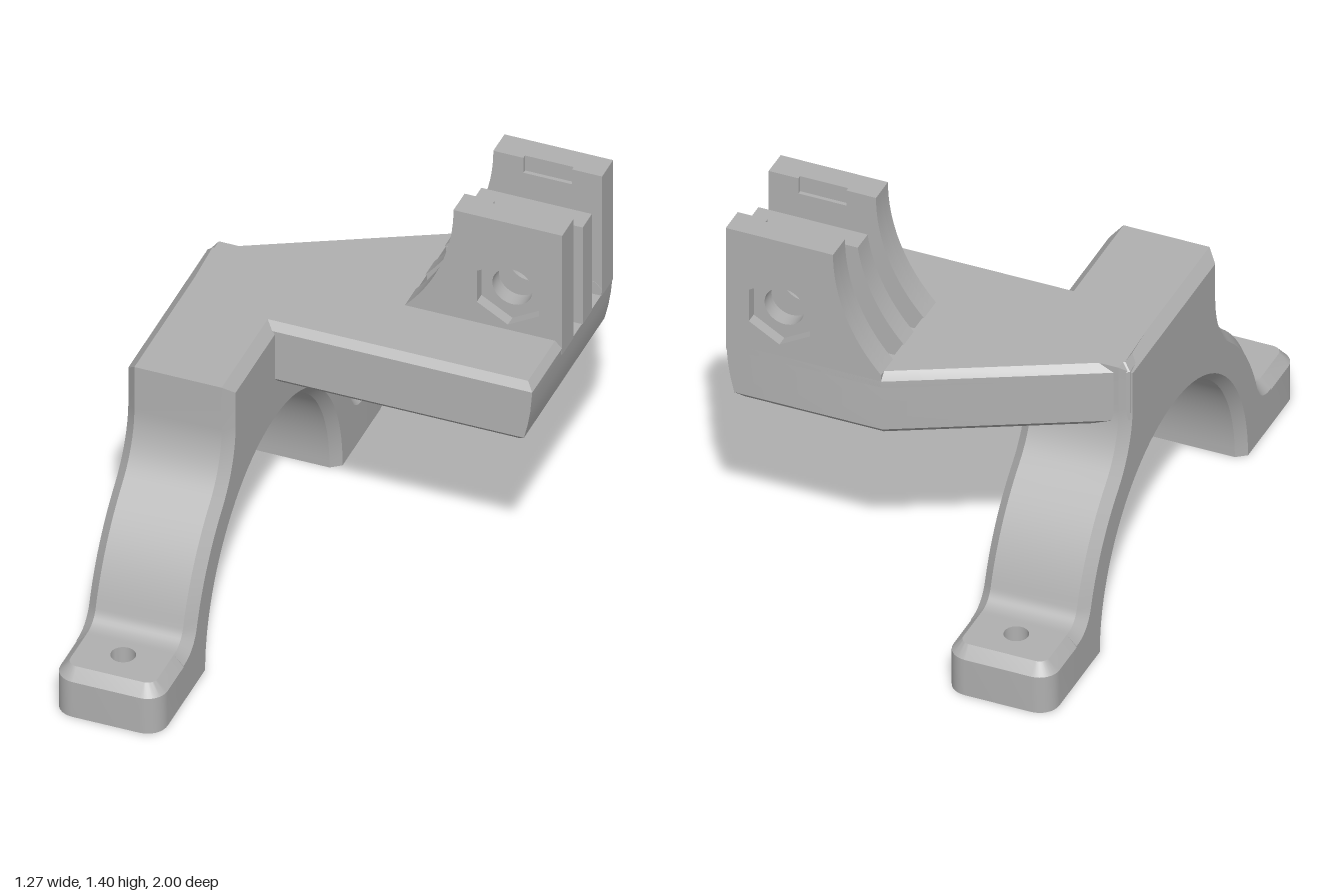
import * as THREE from 'three';
import { toCreasedNormals } from 'three/addons/utils/BufferGeometryUtils.js';

const V = (a, b) => new THREE.Vector2(a, b);

// Points along an arc; skip drops the first points
function arc(cx, cy, r, a0, a1, n, skip = 0) {
  const pts = [];
  for (let i = skip; i <= n; i++) {
    const a = a0 + ((a1 - a0) * i) / n;
    pts.push(V(cx + r * Math.cos(a), cy + r * Math.sin(a)));
  }
  return pts;
}

// Solid through stacked outlines. layers: [{ h, loops: [outline, ...holes] }]
function loft(layers, place) {
  const pos = [];
  const tri = (a, b, c) => [a, c, b].forEach((p) => pos.push(...p));
  const flip = layers[0].loops.map((l, k) => THREE.ShapeUtils.isClockWise(l) === (k === 0));
  const stack = layers.map(({ h, loops }) => ({
    h, loops: loops.map((l, k) => (flip[k] ? [...l].reverse() : l)),
  }));
  for (let s = 0; s < stack.length - 1; s++) {
    const lo = stack[s], hi = stack[s + 1];
    lo.loops.forEach((loop, k) => loop.forEach((p, i) => {
      const j = (i + 1) % loop.length;
      const a = place(p, lo.h), b = place(loop[j], lo.h);
      const c = place(hi.loops[k][j], hi.h), d = place(hi.loops[k][i], hi.h);
      tri(a, b, c);
      tri(a, c, d);
    }));
  }
  [stack[0], stack[stack.length - 1]].forEach(({ h, loops }, end) => {
    const all = loops.flat().map((p) => place(p, h));
    for (const [a, b, c] of THREE.ShapeUtils.triangulateShape(loops[0], loops.slice(1))) {
      if (end) tri(all[a], all[b], all[c]);
      else tri(all[a], all[c], all[b]);
    }
  });
  const g = new THREE.BufferGeometry();
  g.setAttribute('position', new THREE.Float32BufferAttribute(pos, 3));
  return toCreasedNormals(g, 0.55);
}

// Saddle cross-section in (z, y), its outer line inset by d
function archOutline(d, inner) {
  const t = Math.atan2(0.8, 0.666), f = Math.atan2(0.25, 0.776);
  const half = [
    V(0.37 - d, 0.97 - d),
    ...arc(0.666, 0.8, 0.296 + d, Math.PI, Math.PI + t, 10),
    ...arc(0, 0, 0.745 - d, t, f, 14, 1),
    ...arc(0.776, 0.25, 0.07 + d, Math.PI + f, Math.PI * 1.5, 8, 1),
    V(0.79, 0.18 - d), V(0.79, 0),
  ];
  const mirrored = half.map((p) => V(-p.x, p.y)).reverse();
  return [...half, ...arc(0, 0, inner, 0, Math.PI, 48), ...mirrored];
}

// Foot outline in (x, z) with rounded outer corners, inset by d
function footOutline(side, d) {
  const cx = -0.4525, w = 0.1875 - d, r = 0.07 - d, end = 1 - d;
  return [
    V(cx + w, 0.79),
    ...arc(cx + w - r, end - r, r, 0, Math.PI / 2, 8),
    ...arc(cx - w + r, end - r, r, Math.PI / 2, Math.PI, 8),
    V(cx - w, 0.79),
  ].map((p) => V(p.x, p.y * side));
}

const SLOTS = [[-0.365, -0.45], [-0.53, -0.617]];

// Arm outline in (x, z), inset by d, right edge at xr, optionally notched
function armOutline(d, xr, notched) {
  const notches = SLOTS.flatMap(([a, b]) => [V(xr, a), V(0.09, a), V(0.09, b), V(xr, b)]);
  return [
    V(-0.636 + d, -0.345 + 0.608 * d), V(-0.6, -0.01 - d), V(xr, -0.01 - d),
    ...(notched ? notches : []),
    V(xr, -0.716 + d), V(0.08 + 0.243 * d, -0.716 + d),
  ];
}

// Fin slice in (x, y): concave back, flat top, optional notch in the top edge
function finSlice(top, depth, holeSides, holeRadius, notch) {
  const R = 0.629, cx = 0.255 - R;
  const pts = [
    V(0.085, 0.92),
    ...arc(cx, 1.4, R, Math.asin(-0.43 / R), Math.asin((top - 1.4) / R), 16),
  ];
  if (notch) pts.push(V(0.36, top), V(0.36, top - 0.06), V(0.53, top - 0.06), V(0.53, top));
  pts.push(V(0.635, top), V(0.635, 0.92));
  const shape = new THREE.Shape(pts);
  const ring = arc(0.445, 1.115, holeRadius, Math.PI / 2, Math.PI * 2.5, holeSides);
  shape.holes.push(new THREE.Path(ring.slice(0, -1)));
  const g = new THREE.ExtrudeGeometry(shape, { depth, bevelEnabled: false });
  return toCreasedNormals(g, 0.55);
}

export function createModel() {
  const model = new THREE.Group();
  model.name = 'clampMount';
  const grey = new THREE.MeshStandardMaterial({ color: 0xb0b0b0 });
  grey.name = 'grey';
  const add = (name, geometry, parent = model) => {
    const mesh = new THREE.Mesh(geometry, grey);
    mesh.name = name;
    parent.add(mesh);
    return mesh;
  };

  // Saddle: half-round clamp with chamfered edges
  const section = (h, d, r) => ({ h, loops: [archOutline(d, r)] });
  add('saddle', loft([
    section(-0.64, 0.035, 0.602), section(-0.605, 0, 0.575),
    section(-0.3, 0, 0.575), section(-0.265, 0.035, 0.602),
  ], (p, h) => [h, p.y, p.x]));

  // Feet with screw holes
  const flat = (p, h) => [p.x, h, p.y];
  for (const side of [1, -1]) {
    const hole = arc(-0.4525, 0.85 * side, 0.042, 0, Math.PI * 2, 24, 1);
    const layers = [[0, 0], [0.14, 0], [0.18, 0.035]].map(([h, d]) => (
      { h, loops: [footOutline(side, d), hole] }));
    add(side > 0 ? 'frontFoot' : 'backFoot', loft(layers, flat));
  }

  // Arm: lower slab, then the upper layer with the slots between the fins
  const armLayers = (rows, notched) => rows.map(([h, d, xr]) => (
    { h, loops: [armOutline(d, xr, notched)] }));
  add('armLower', loft(armLayers([
    [0.73, 0.025, 0.578], [0.755, 0, 0.605], [0.81, 0, 0.618], [0.865, 0, 0.627], [0.92, 0, 0.632],
  ], false), flat));
  add('armUpper', loft(armLayers([
    [0.92, 0, 0.632], [0.945, 0, 0.634], [0.97, 0.024, 0.61],
  ], true), flat));

  // Outer fins: hexagonal nut pocket outside, round bore, notch on the inner face
  for (const [name, outer, dir] of [['frontFin', -0.27, -1], ['backFin', -0.716, 1]]) {
    const fin = new THREE.Group();
    fin.name = name;
    let z = outer;
    for (const [part, depth, sides, radius, notch] of [
      ['nutPocket', 0.04, 6, 0.125, false],
      ['boreWall', 0.043, 40, 0.07, false],
      ['notchedFace', 0.014, 40, 0.07, true],
    ]) {
      const slice = add(part, finSlice(1.4, depth, sides, radius, notch), fin);
      slice.position.z = dir > 0 ? z : z - depth;
      z += dir * depth;
    }
    model.add(fin);
  }

  // Shorter middle fin
  add('middleFin', finSlice(1.31, 0.08, 40, 0.07, false)).position.z = -0.53;

  return model;
}
